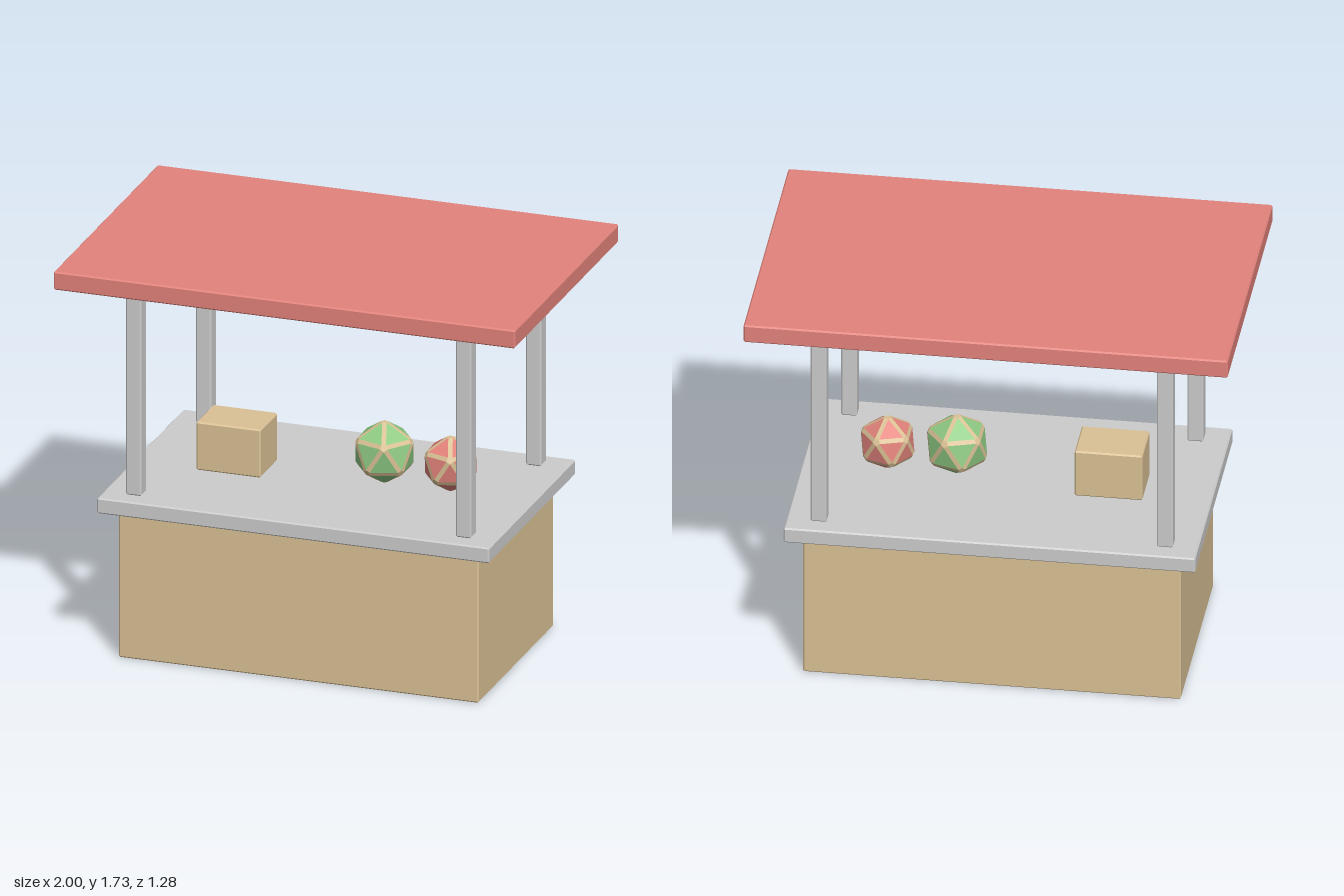
import * as THREE from 'three';
import { ConvexGeometry } from 'three/addons/geometries/ConvexGeometry.js';

const paint = (color) => new THREE.MeshStandardMaterial({ color, flatShading: true });
const wood = paint(0xdac195);
const metal = paint(0xcccccc);
const red = paint(0xe2827b);
const green = paint(0x8fcb84);

// Box with chamfered edges, placed by its bottom centre
function chamferBox(name, w, h, d, x, y, z, material, c = 0.006) {
  const points = [];
  for (const sx of [-1, 1]) for (const sy of [-1, 1]) for (const sz of [-1, 1]) {
    const half = [w / 2, h / 2, d / 2];
    for (let axis = 0; axis < 3; axis++) {
      const p = half.map((v, i) => (i === axis ? v : v - c));
      points.push(new THREE.Vector3(sx * p[0], sy * p[1], sz * p[2]));
    }
  }
  const mesh = new THREE.Mesh(new ConvexGeometry(points), material);
  mesh.name = name;
  mesh.position.set(x, y + h / 2, z);
  return mesh;
}

// Twenty-sided fruit: coloured faces separated by chamfered wood-coloured seams
function fruit(name, radius, x, y, skin, inset = 0.01) {
  const ring = (h, start) => Array.from({ length: 5 }, (_, i) => {
    const a = start + (i * Math.PI * 2) / 5;
    return new THREE.Vector3(Math.cos(a) * 0.8944, h, Math.sin(a) * 0.8944).multiplyScalar(radius);
  });
  const top = new THREE.Vector3(0, radius, 0);
  const bottom = new THREE.Vector3(0, -radius, 0);
  const upper = ring(0.4472 , 0);
  const lower = ring(-0.4472, Math.PI / 5);
  const faces = [];
  for (let i = 0; i < 5; i++) {
    const j = (i + 1) % 5;
    faces.push([top, upper[i], upper[j]], [upper[i], lower[i], upper[j]],
      [upper[j], lower[i], lower[j]], [bottom, lower[i], lower[j]]);
  }
  // Pull every face corner towards the face centre, then wrap a hull around all of them
  const points = faces.flatMap((face) => {
    const centre = face[0].clone().add(face[1]).add(face[2]).divideScalar(3);
    return face.map((v) => v.clone().add(centre.clone().sub(v).setLength(2 * inset)));
  });
  const hull = new ConvexGeometry(points).getAttribute('position');

  // Large hull triangles are the skin, small ones the seams
  const parts = { Skin: [], Seams: [] };
  const tri = new THREE.Triangle();
  for (let i = 0; i < hull.count; i += 3) {
    tri.setFromAttributeAndIndices(hull, i, i + 1, i + 2);
    const list = tri.getArea() > radius * radius * 0.15 ? parts.Skin : parts.Seams;
    list.push(tri.a.clone(), tri.b.clone(), tri.c.clone());
  }
  const group = new THREE.Group();
  group.name = name;
  group.position.set(x, y, 0);
  for (const [part, list] of Object.entries(parts)) {
    const geometry = new THREE.BufferGeometry().setFromPoints(list);
    geometry.computeVertexNormals();
    const mesh = new THREE.Mesh(geometry, part === 'Skin' ? skin : wood);
    mesh.name = name + part;
    group.add(mesh);
  }
  return group;
}

export function createModel() {
  const stall = new THREE.Group();
  stall.name = 'marketStall';

  // Counter and roof
  stall.add(
    chamferBox('base', 1.56, 0.645, 0.92, 0, 0, 0, wood),
    chamferBox('countertop', 1.7, 0.068, 1.06, 0, 0.647, 0, metal),
    chamferBox('roof', 2, 0.08, 1.276, 0, 1.648, 0, red),
  );

  // Corner posts
  for (const sx of [-1, 1]) for (const sz of [-1, 1]) {
    const name = (sz > 0 ? 'front' : 'back') + (sx > 0 ? 'Left' : 'Right') + 'Post';
    stall.add(chamferBox(name, 0.066, 0.927, 0.066, sx * 0.715, 0.718, sz * 0.43, metal));
  }

  // Goods on the counter
  stall.add(
    chamferBox('crate', 0.28, 0.211, 0.21, -0.43, 0.718, 0, wood),
    fruit('greenFruit', 0.143, 0.21, 0.862, green),
    fruit('redFruit', 0.128, 0.497, 0.847, red),
  );
  return stall;
}
